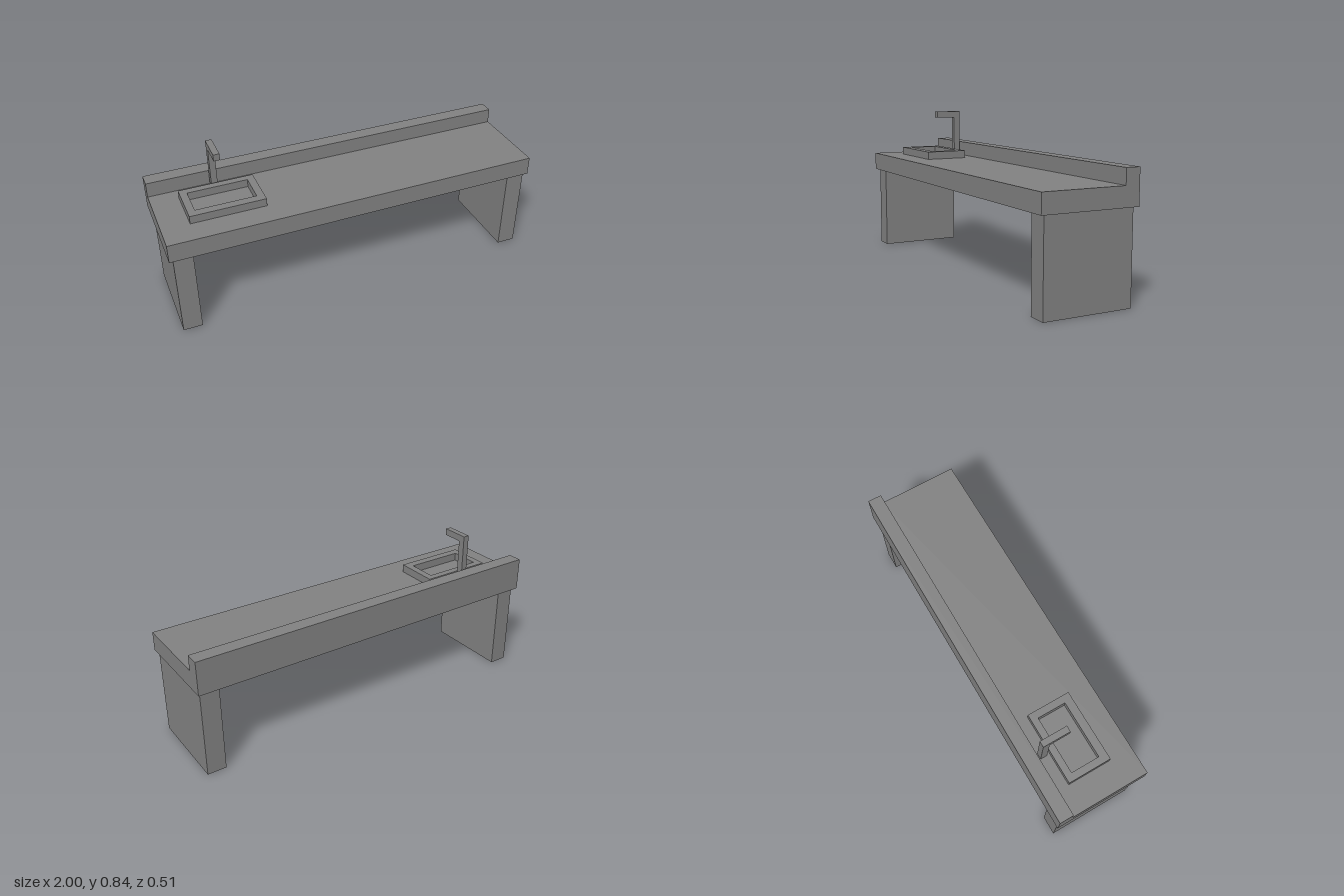
import * as THREE from 'three';

const material = new THREE.MeshStandardMaterial({ color: 0x828282, flatShading: true });

function addMesh(parent, name, geometry) {
  const mesh = new THREE.Mesh(geometry, material);
  mesh.name = name;
  parent.add(mesh);
  return mesh;
}

// Extrude a side profile of [z, y] points across a width in x
function sideProfile(points, xMin, xMax) {
  const shape = new THREE.Shape(points.map(([z, y]) => new THREE.Vector2(z, y)));
  const width = xMax - xMin;
  return new THREE.ExtrudeGeometry(shape, { depth: width, bevelEnabled: false })
    .translate(0, 0, -width / 2)
    .rotateY(-Math.PI / 2)
    .translate((xMin + xMax) / 2, 0, 0);
}

// Rectangle outline in plan, with z negated so it can be laid flat
function planRect(Type, x0, x1, z0, z1) {
  return new Type([[x0, -z1], [x1, -z1], [x1, -z0], [x0, -z0]].map(([x, y]) => new THREE.Vector2(x, y)));
}

export function createModel() {
  const group = new THREE.Group();
  group.name = 'sinkCounter';

  // Worktop with raised backsplash, one continuous profile
  addMesh(group, 'worktop', sideProfile([
    [0.256, 0.468], [0.256, 0.568], [-0.18, 0.568], [-0.18, 0.648], [-0.256, 0.648], [-0.256, 0.468],
  ], -1, 1));

  // Slab legs
  for (const [name, x] of [['rightLeg', -0.928], ['leftLeg', 0.936]]) {
    addMesh(group, name, new THREE.BoxGeometry(0.1, 0.468, 0.468)).position.set(x, 0.234, 0);
  }

  // Basin rim, open in the middle down to the worktop
  const rim = planRect(THREE.Shape, -0.855, -0.462, -0.112, 0.126);
  rim.holes.push(planRect(THREE.Path, -0.817, -0.501, -0.075, 0.082));
  addMesh(group, 'basinRim', new THREE.ExtrudeGeometry(rim, { depth: 0.043, bevelEnabled: false })
    .rotateX(-Math.PI / 2)
    .translate(0, 0.568, 0));

  // Square-section tap: upright and forward spout
  addMesh(group, 'tap', sideProfile([
    [-0.128, 0.568], [-0.128, 0.80], [-0.016, 0.80], [-0.016, 0.836], [-0.165, 0.836], [-0.165, 0.568],
  ], -0.678, -0.645));

  return group;
}
